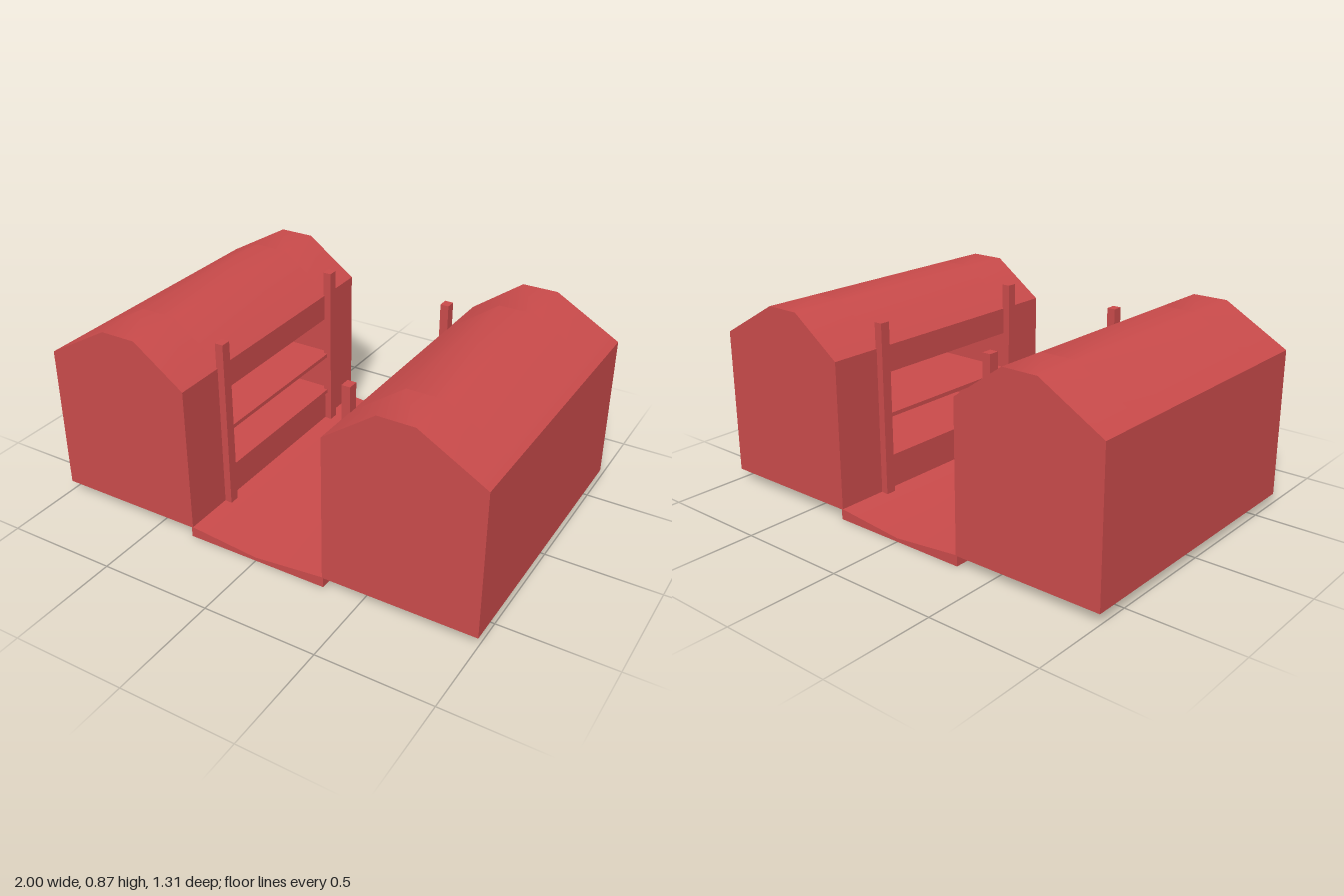
import * as THREE from 'three';
import { toCreasedNormals } from 'three/addons/utils/BufferGeometryUtils.js';

const material = new THREE.MeshStandardMaterial({ color: 0xc84a4a });
const HALF = 0.655;               // half length along z
const WALL = 0.32, BACK = 0.8;    // inner wall and back of the recess
const OPEN = [-0.43, 0.40];       // recess extent along z

function addMesh(parent, name, geometry) {
  const mesh = new THREE.Mesh(geometry, material);
  mesh.name = name;
  parent.add(mesh);
}

// Cross-section in x/y swept from z0 to z1, smooth over shallow bends only
function sweep(points, z0, z1) {
  const shape = new THREE.Shape(points.map(([x, y]) => new THREE.Vector2(x, y)));
  const geometry = new THREE.ExtrudeGeometry(shape, { depth: z1 - z0, bevelEnabled: false });
  geometry.translate(0, 0, z0);
  return toCreasedNormals(geometry, 0.7);
}

function box(x0, x1, y0, y1, z0, z1) {
  return new THREE.BoxGeometry(x1 - x0, y1 - y0, z1 - z0)
    .translate((x0 + x1) / 2, (y0 + y1) / 2, (z0 + z1) / 2);
}

function createStall() {
  const stall = new THREE.Group();
  const outline = [
    [-WALL, 0.7], [-0.55, 0.865], [-0.71, 0.865], [-1, 0.7], [-1, 0.045], [-WALL, 0.045],
  ];
  const notch = [[-WALL, 0.2], [-BACK, 0.2], [-BACK, 0.58], [-WALL, 0.58]];

  // Solid ends, with a recessed middle open to the aisle
  addMesh(stall, 'rearEndBlock', sweep(outline, -HALF, OPEN[0]));
  addMesh(stall, 'recessedBlock', sweep([...outline, ...notch], OPEN[0], OPEN[1]));
  addMesh(stall, 'frontEndBlock', sweep(outline, OPEN[1], HALF));

  // Counter and shelf, their edges just proud of the wall
  for (const [name, top] of [['counter', 0.205], ['shelf', 0.4]]) {
    addMesh(stall, name, box(-BACK, -0.308, top - 0.018, top, OPEN[0], OPEN[1]));
  }

  // Posts at both sides of the opening
  for (const z of OPEN) {
    addMesh(stall, 'post', box(-0.326, -0.288, 0.04, 0.815, z - 0.023, z + 0.023));
  }
  return stall;
}

export function createModel() {
  const model = new THREE.Group();
  model.name = 'facingStalls';

  const left = createStall();
  left.name = 'rightStall';
  const right = createStall();
  right.name = 'leftStall';
  right.rotation.y = Math.PI;
  model.add(left, right);

  // Aisle floor, dished towards the middle
  addMesh(model, 'aisleFloor', sweep(
    [[-0.326, 0], [0.326, 0], [0.326, 0.048], [0, 0.016], [-0.326, 0.048]], -HALF, HALF));
  return model;
}
